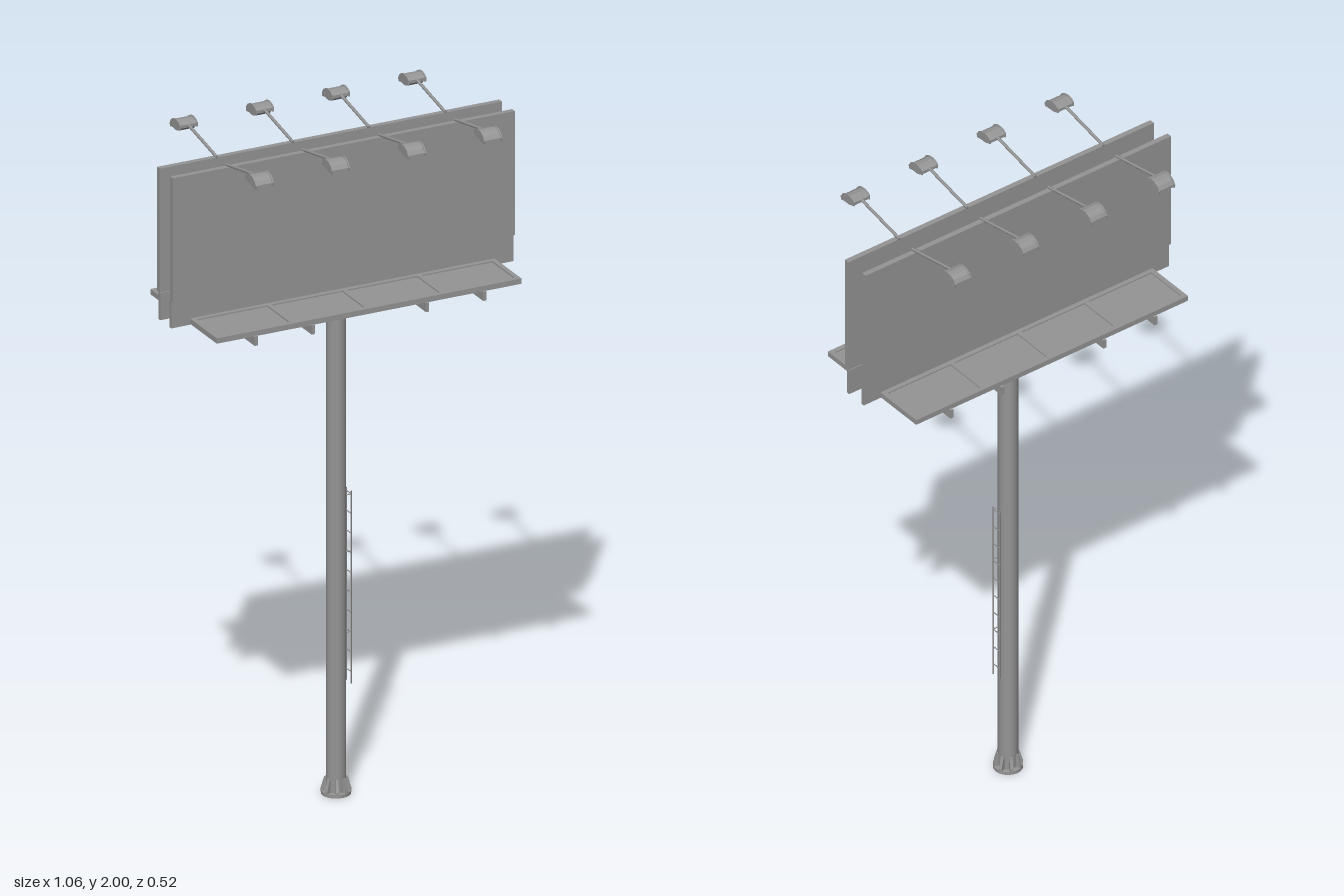
import * as THREE from 'three';

const mat = new THREE.MeshStandardMaterial({ color: 0x959595 });

function add(parent, name, geo, x = 0, y = 0, z = 0) {
  const m = new THREE.Mesh(geo, mat);
  m.name = name;
  m.position.set(x, y, z);
  parent.add(m);
  return m;
}

// Box given by its minimum and maximum corners
function box(parent, name, x0, x1, y0, y1, z0, z1) {
  return add(parent, name, new THREE.BoxGeometry(x1 - x0, y1 - y0, z1 - z0),
    (x0 + x1) / 2, (y0 + y1) / 2, (z0 + z1) / 2);
}

// Profile of [z, y] points extruded along x, centred
function profile(points, width) {
  const shape = new THREE.Shape(points.map(p => new THREE.Vector2(...p)));
  const geo = new THREE.ExtrudeGeometry(shape, { depth: width, bevelEnabled: false });
  return geo.translate(0, 0, -width / 2).rotateY(-Math.PI / 2);
}

// Round bar between two points
function bar(parent, name, a, b, r, sides = 8) {
  const A = new THREE.Vector3(...a), B = new THREE.Vector3(...b);
  const d = B.clone().sub(A);
  const m = add(parent, name, new THREE.CylinderGeometry(r, r, d.length(), sides));
  m.position.copy(A).add(B).multiplyScalar(0.5);
  m.quaternion.setFromUnitVectors(new THREE.Vector3(0, 1, 0), d.normalize());
  return m;
}

function lamp(x) {
  const g = new THREE.Group();
  g.name = 'lamp';
  bar(g, 'lampArm', [0, 1.953, 0.03], [0, 1.987, 0.205], 0.0045);
  // Curved hood between two end plates, with a shallow lens below
  const hood = [[0.2, 1.979], [0.257, 1.969], [0.257, 1.977], [0.25, 1.988],
    [0.237, 1.996], [0.222, 1.998], [0.207, 1.994], [0.2, 1.988]];
  const plate = [[0.199, 1.977], [0.258, 1.967], [0.26, 1.977], [0.252, 1.99],
    [0.238, 1.998], [0.222, 2.0], [0.206, 1.996], [0.199, 1.99]];
  const lens = [[0.203, 1.98], [0.212, 1.969], [0.228, 1.964], [0.244, 1.964], [0.255, 1.971]];
  add(g, 'lampHood', profile(hood, 0.05));
  add(g, 'lampLens', profile(lens, 0.046));
  for (const s of [-1, 1]) add(g, 'lampEndPlate', profile(plate, 0.004), s * 0.026);
  g.position.x = x;
  return g;
}

// One complete sign face with walkway and lamps, facing +z
function signSide() {
  const g = new THREE.Group();
  box(g, 'signPanel', -0.53, 0.53, 1.581, 1.951, 0.031, 0.047);
  box(g, 'lowerPanel', -0.53, 0.53, 1.5, 1.581, 0.028, 0.038);

  // Walkway: frame, cross members and recessed decking
  const X = 0.472, y0 = 1.503, y1 = 1.519, zi = 0.038, zo = 0.2, w = 0.014;
  box(g, 'walkwayOuterRail', -X, X, y0, y1, zo - w, zo);
  box(g, 'walkwayInnerRail', -X, X, y0, y1, zi, zi + w);
  for (let i = 0; i <= 4; i++) {
    const x = -X + w / 2 + i * (2 * X - w) / 4;
    box(g, 'walkwayCrossMember', x - w / 2, x + w / 2, y0, y1, zi + w, zo - w);
  }
  box(g, 'walkwayDeck', -X + w, X - w, 1.506, 1.515, zi + w, zo - w);

  // Support brackets under the walkway
  for (const x of [-0.354, -0.177, 0.177, 0.354])
    box(g, 'walkwayBracket', x - 0.005, x + 0.005, 1.478, 1.505, 0.02, 0.208);

  for (const x of [-0.354, -0.118, 0.118, 0.354]) g.add(lamp(x));
  return g;
}

function ladder() {
  const g = new THREE.Group();
  g.name = 'ladder';
  const x = 0.039, z = 0.015;
  for (const s of [-1, 1]) {
    bar(g, 'ladderRail', [x, 0.325, s * z], [x, 0.9, s * z], 0.002, 6);
    for (const y of [0.48, 0.72, 0.89])
      bar(g, 'ladderMount', [0.018, y, s * z], [x, y, s * z], 0.0016, 6);
  }
  for (let i = 0; i < 10; i++) {
    const y = 0.36 + i * 0.059;
    bar(g, 'ladderRung', [x, y, -z], [x, y, z], 0.0016, 6);
  }
  return g;
}

export function createModel() {
  const model = new THREE.Group();
  model.name = 'billboard';

  // Pole and gusseted foot
  add(model, 'pole', new THREE.CylinderGeometry(0.0285, 0.0285, 1.53, 20), 0, 0.765);
  add(model, 'basePlate', new THREE.CylinderGeometry(0.042, 0.042, 0.01, 20), 0, 0.005);
  const foot = [[0.02, 0.005], [0.042, 0.005], [0.042, 0.016], [0.032, 0.05], [0.02, 0.05]];
  for (let i = 0; i < 8; i++) {
    const gusset = add(model, 'baseGusset', profile(foot, 0.009));
    gusset.rotation.y = (i + 0.5) * Math.PI / 4;
  }

  model.add(ladder());

  // Front and back signs
  const front = signSide();
  front.name = 'frontSign';
  const back = signSide();
  back.name = 'backSign';
  back.rotation.y = Math.PI;
  model.add(front, back);
  return model;
}
